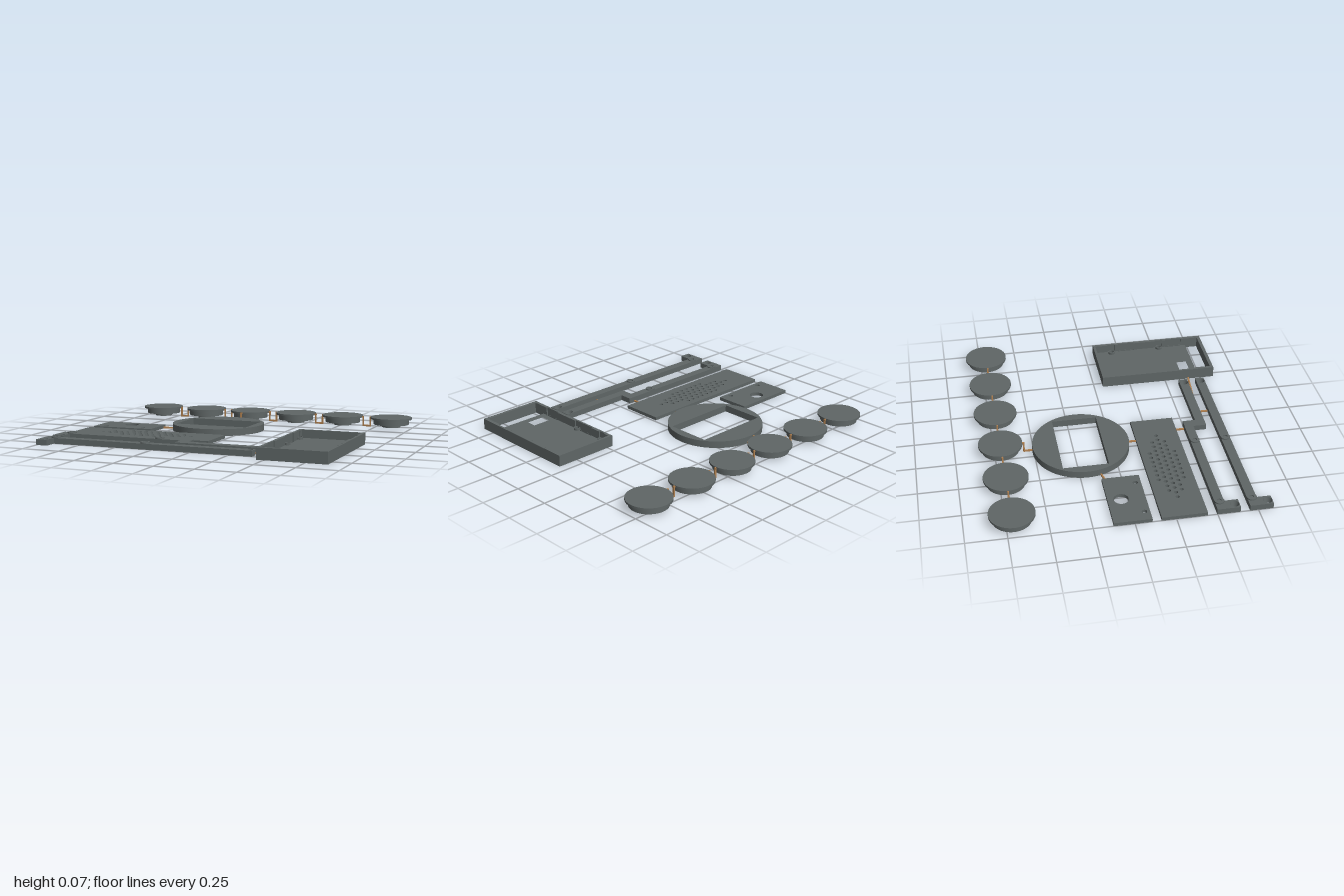
import * as THREE from 'three';
import { toCreasedNormals } from 'three/addons/utils/BufferGeometryUtils.js';

const grey = new THREE.MeshStandardMaterial({ color: 0x5f6666 });
const greyThin = new THREE.MeshStandardMaterial({ color: 0x5f6666, side: THREE.DoubleSide });
const copper = new THREE.MeshStandardMaterial({ color: 0xb08050 });

export function createModel() {
  const model = new THREE.Group();

  const add = (name, geometry, material = grey, parent = model) => {
    const mesh = new THREE.Mesh(geometry, material);
    mesh.name = name;
    parent.add(mesh);
    return mesh;
  };
  const group = (name) => {
    const g = new THREE.Group();
    g.name = name;
    model.add(g);
    return g;
  };

  // Outlines are given in x, z and extruded upwards from y0 to y1
  const poly = (pts, Type = THREE.Shape) => new Type(pts.map(([x, z]) => new THREE.Vector2(x, -z)));
  const rect = (x0, x1, z0, z1) => [[x0, z0], [x1, z0], [x1, z1], [x0, z1]];
  const disc = (x, z, r, Type = THREE.Path) => new Type().absarc(x, -z, r, 0, Math.PI * 2);
  const slab = (shape, holes, y0, y1) => {
    shape.holes.push(...holes);
    const g = new THREE.ExtrudeGeometry(shape, { depth: y1 - y0, bevelEnabled: false, curveSegments: 32 });
    g.rotateX(-Math.PI / 2).translate(0, y0, 0);
    return toCreasedNormals(g, 0.5);
  };
  const box = (x0, x1, y0, y1, z0, z1) =>
    new THREE.BoxGeometry(x1 - x0, y1 - y0, z1 - z0).translate((x0 + x1) / 2, (y0 + y1) / 2, (z0 + z1) / 2);

  // Row of round caps: flange, hollow cup and central tube
  const capProfile = [
    [0, 0.055], [0.045, 0.055], [0.045, 0.005], [0.06, 0.005], [0.06, 0.055], [0.105, 0.055],
    [0.105, 0.025], [0.12, 0.025], [0.12, 0.06], [0.14, 0.06], [0.14, 0.073], [0, 0.073],
  ].map(([x, y]) => new THREE.Vector2(x, y));
  const capGeometry = toCreasedNormals(new THREE.LatheGeometry(capProfile, 64), 0.5);
  const capX = (i) => -0.86 + i * 0.344;
  for (let i = 0; i < 6; i++) add('cap', capGeometry, grey).position.set(capX(i), 0, -0.71);

  // Bezel disc with a rectangular window
  add('bezel', slab(disc(-0.21, -0.2, 0.31, THREE.Shape), [poly(rect(-0.46, 0.043, -0.35, -0.06), THREE.Path)], 0, 0.045));

  // Switch plate
  add('switchPlate', slab(poly(rect(-1, -0.575, -0.128, 0.105)),
    [disc(-0.787, -0.045, 0.046), disc(-0.925, 0.07, 0.016), disc(-0.647, 0.07, 0.016)], 0, 0.022));

  // Grille plate with staggered rows of holes
  const grille = [];
  [7, 12, 15, 12, 7].forEach((count, row) => {
    for (let i = 0; i < count; i++) {
      grille.push(disc(-0.51 + (i - (count - 1) / 2) * 0.045, 0.295 + (row - 2) * 0.0395, 0.0125));
    }
  });
  add('grillePlate', slab(poly(rect(-1, -0.015, 0.16, 0.44)), grille, 0, 0.022));

  // Rails with low bosses and countersunk screw holes
  const rail = (name, outline, tabZ, bossZ, endZ) => {
    const g = group(name);
    const sinks = [[-0.963, tabZ], [0.365, endZ]];
    add('bar', slab(poly(outline), sinks.map(([x, z]) => disc(x, z, 0.028)), 0, 0.036), grey, g);
    for (const [x, z] of sinks) {
      const cone = new THREE.CylinderGeometry(0.028, 0.018, 0.036, 32, 1, true);
      add('countersink', cone, greyThin, g).position.set(x, 0.018, z);
    }
    for (const x of [-0.925, -0.305]) {
      add('boss', slab(disc(x, bossZ, 0.03, THREE.Shape), [disc(x, bossZ, 0.014)], 0.036, 0.044), grey, g);
    }
  };
  rail('steppedRail', [
    [-1, 0.497], [-0.085, 0.497], [-0.085, 0.58], [0.4, 0.58], [0.4, 0.64], [-0.15, 0.64],
    [-0.15, 0.555], [-0.925, 0.555], [-0.925, 0.64], [-1, 0.64],
  ], 0.61, 0.526, 0.61);
  rail('straightRail', [
    [-1, 0.698], [0.4, 0.698], [0.4, 0.757], [-0.925, 0.757], [-0.925, 0.843], [-1, 0.843],
  ], 0.815, 0.727, 0.727);

  // Tray: pierced floor, outer skins, inner ribs and an open frame at the front
  const tray = group('tray');
  const screws = [[0.484, 0.14], [0.484, 0.378], [0.845, 0.19], [0.853, 0.537]];
  const cuts = screws.map(([x, z]) => disc(x, z, 0.016));
  cuts.push(poly(rect(0.525, 0.645, 0.622, 0.69), THREE.Path));
  for (const [z0, z1] of [[0.24, 0.355], [0.585, 0.7]]) {
    cuts.push(poly(rect(0.472, 0.484, z0, z1), THREE.Path), poly(rect(0.861, 0.873, z0, z1), THREE.Path));
  }
  add('trayFloor', slab(poly(rect(0.458, 0.888, 0.06, 0.735)), cuts, 0, 0.02), grey, tray);
  for (const [x, z] of screws) {
    add('screwCollar', slab(disc(x, z, 0.022, THREE.Shape), [disc(x, z, 0.016)], 0.02, 0.035), grey, tray);
  }
  const ribs = [
    [[0.06, 0.115], [0.165, 0.24], [0.405, 0.585], [0.7, 0.825]],
    [[0.06, 0.165], [0.215, 0.24], [0.355, 0.51], [0.565, 0.585], [0.7, 0.825]],
  ];
  ribs.forEach((spans, side) => {
    const skin = side ? 0.875 : 0.458;
    const rib = side ? 0.866 : 0.471;
    add('sideWall', box(skin, skin + 0.013, 0, 0.073, 0.06, 0.842), grey, tray);
    for (const [z0, z1] of spans) add('sideRib', box(rib, rib + 0.009, 0, 0.073, z0, z1), grey, tray);
  });
  add('backWall', box(0.458, 0.888, 0, 0.073, 0.06, 0.076), grey, tray);
  add('frontWall', box(0.458, 0.888, 0, 0.073, 0.82, 0.842), grey, tray);

  // Thin square runners linking the parts
  const runners = group('runners');
  const link = (...pts) => {
    for (let i = 1; i < pts.length; i++) {
      const a = new THREE.Vector3(...pts[i - 1]);
      const b = new THREE.Vector3(...pts[i]);
      const rod = add('runner', new THREE.BoxGeometry(0.01, 0.01, a.distanceTo(b) + 0.01), copper, runners);
      rod.position.copy(a).add(b).multiplyScalar(0.5);
      rod.lookAt(b);
    }
  };
  for (let i = 0; i < 5; i++) {
    const a = capX(i) + 0.147;
    const b = capX(i + 1) - 0.147;
    link([a - 0.015, 0.066, -0.71], [a, 0.066, -0.71], [a, 0.006, -0.71],
      [b, 0.006, -0.71], [b, 0.066, -0.71], [b + 0.015, 0.066, -0.71]);
  }
  link([-0.187, 0.006, -0.5], [-0.187, 0.006, -0.562], [-0.187, 0.066, -0.562], [-0.187, 0.066, -0.58]);
  link([-0.58, 0.006, -0.1], [-0.5, 0.006, -0.122]);
  link([-0.205, 0.006, 0.1], [-0.205, 0.006, 0.165]);
  link([-0.13, 0.006, 0.435], [-0.13, 0.006, 0.5]);
  link([0.045, 0.006, 0.635], [0.045, 0.006, 0.7]);
  link([0.15, 0.006, 0.637], [0.463, 0.006, 0.664]);

  return model;
}
